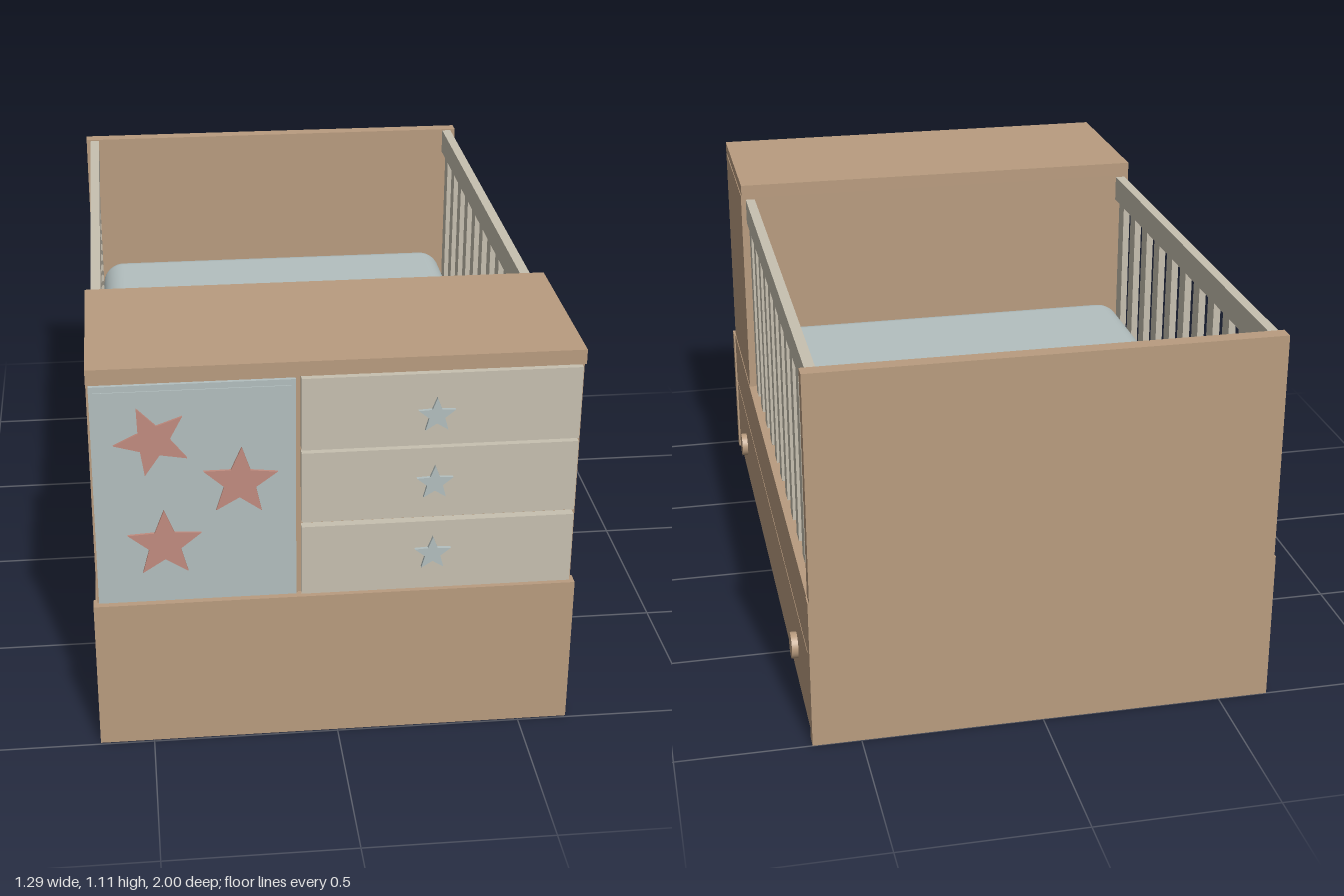
import * as THREE from 'three';
import { RoundedBoxGeometry } from 'three/addons/geometries/RoundedBoxGeometry.js';

const paint = (name, color) => {
  const m = new THREE.MeshStandardMaterial({ color });
  m.name = name;
  return m;
};

export function createModel() {
  const model = new THREE.Group();
  model.name = 'cribWithDresser';
  const wood = paint('wood', 0xb99c7f);
  const cream = paint('cream', 0xc7c0b0);
  const blue = paint('paleBlue', 0xb3bfbf);
  const coral = paint('coral', 0xc18c7f);

  const add = (name, geometry, material, x, y, z, parent = model) => {
    const mesh = new THREE.Mesh(geometry, material);
    mesh.name = name;
    mesh.position.set(x, y, z);
    parent.add(mesh);
    return mesh;
  };
  // Box given by its lower and upper limits
  const box = (name, material, x0, x1, y0, y1, z0, z1, parent) =>
    add(name, new THREE.BoxGeometry(x1 - x0, y1 - y0, z1 - z0), material,
      (x0 + x1) / 2, (y0 + y1) / 2, (z0 + z1) / 2, parent);

  const starGeometry = (radius, depth) => {
    const points = [];
    for (let i = 0; i < 10; i++) {
      const r = i % 2 ? radius * 0.43 : radius;
      const a = Math.PI / 2 + (i * Math.PI) / 5;
      points.push(new THREE.Vector2(r * Math.cos(a), r * Math.sin(a)));
    }
    return new THREE.ExtrudeGeometry(new THREE.Shape(points), { depth, bevelEnabled: false });
  };

  // Base: solid core, front and back boards
  box('baseCore', wood, -0.62, 0.61, 0, 0.4, -0.96, 0.96);
  box('baseFrontBoard', wood, -0.645, 0.635, 0, 0.43, 0.958, 0.994);
  box('baseBackBoard', wood, -0.64, 0.632, 0, 0.43, -1, -0.958);
  box('headboard', wood, -0.636, 0.628, 0.43, 1.07, -1, -0.958);

  // Long sides, mirrored about the middle of the bed
  const midX = -0.005;
  for (const s of [1, -1]) {
    const side = new THREE.Group();
    side.name = s > 0 ? 'leftSide' : 'rightSide';
    model.add(side);
    const slab = (name, material, inner, outer, y0, y1, z0, z1) => {
      const a = midX + s * inner, b = midX + s * outer;
      return box(name, material, Math.min(a, b), Math.max(a, b), y0, y1, z0, z1, side);
    };
    slab('sideRail', wood, 0.59, 0.635, 0.257, 0.43, -0.957, 0.957);
    slab('underDrawerFront', wood, 0.6, 0.635, 0.02, 0.25, -0.952, 0.952);
    for (const z of [-0.685, 0.685]) {
      const out = s > 0 ? 0.653 : 0.64;
      const knob = add('drawerKnob', new THREE.CylinderGeometry(0.037, 0.037, 0.04, 32), wood,
        midX + s * (out - 0.02), 0.128, z, side);
      knob.rotation.z = Math.PI / 2;
    }
    // Crib railing
    slab('railingTop', cream, 0.59, 0.618, 0.99, 1.066, -0.958, 0.475);
    for (let i = 0; i < 11; i++) {
      const z = 0.411 - i * 0.129;
      slab('railingSlat', cream, 0.594, 0.614, 0.42, 0.992, z - 0.026, z + 0.026);
    }
  }

  // Mattress
  add('mattress', new RoundedBoxGeometry(1.172, 0.26, 1.42, 6, 0.07), blue, -0.013, 0.516, -0.232);

  // Dresser body and overhanging top
  box('dresserBody', wood, -0.636, 0.628, 0.4, 1.08, 0.473, 0.966);
  box('dresserTop', wood, -0.636, 0.626, 1.072, 1.112, 0.473, 0.994);

  // Door with a thin framed panel
  box('doorBack', wood, -0.634, -0.106, 0.434, 1.066, 0.96, 0.978);
  box('door', blue, -0.63, -0.112, 0.437, 1.062, 0.966, 0.988);
  box('doorPanel', blue, -0.62, -0.124, 0.456, 1.046, 0.986, 0.991);
  for (const [x, y, turn] of [[-0.475, 0.91, 0.4], [-0.256, 0.782, -0.05], [-0.453, 0.61, 0]]) {
    add('doorStar', starGeometry(0.1, 0.008), coral, x, y, 0.99).rotation.z = turn;
  }

  // Three drawers with star handles
  for (const [y0, y1, starY] of [[0.436, 0.637, 0.543], [0.651, 0.852, 0.753], [0.861, 1.062, 0.947]]) {
    box('dresserDrawer', cream, -0.098, 0.62, y0, y1, 0.96, 0.99);
    add('drawerStar', starGeometry(0.05, 0.01), blue, 0.247, starY, 0.989);
  }

  return model;
}
